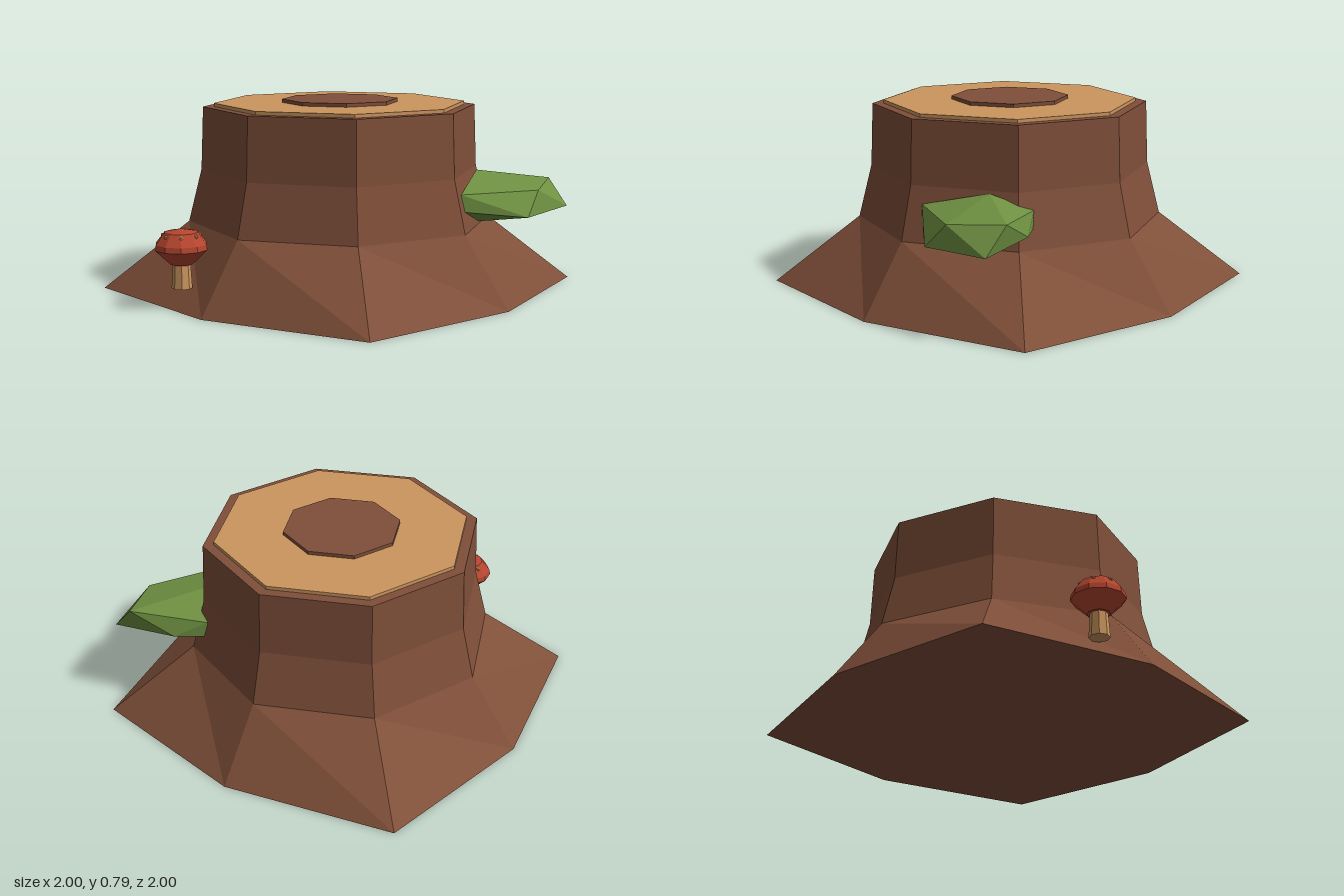
import * as THREE from 'three';
import { ConvexGeometry } from 'three/addons/geometries/ConvexGeometry.js';

const mat = (name, color) => {
  const m = new THREE.MeshStandardMaterial({ color });
  m.name = name;
  return m;
};

// Faceted copy of a geometry: every face gets its own normal
const facet = (geo) => {
  const g = geo.index ? geo.toNonIndexed() : geo;
  g.computeVertexNormals();
  return g;
};

const turned = (profile, sides) =>
  new THREE.LatheGeometry(profile.map(([r, y]) => new THREE.Vector2(r, y)), sides);

export function createModel() {
  const bark = mat('bark brown', 0x7f4f39);
  const wood = mat('cut wood', 0xcb955e);
  const red = mat('mushroom red', 0xb5452f);
  const green = mat('leaf green', 0x6f9142);

  const model = new THREE.Group();
  model.name = 'treeStump';
  const add = (name, geo, material, parent = model) => {
    const mesh = new THREE.Mesh(facet(geo), material);
    mesh.name = name;
    parent.add(mesh);
    return mesh;
  };

  // Trunk: eight sides, with the four diagonal corners of the foot pulled in
  const trunk = turned([[0, 0], [1, 0], [0.64, 0.28], [0.585, 0.5], [0.575, 0.762], [0, 0.762]], 8);
  const p = trunk.attributes.position;
  for (let i = 0; i < p.count; i++) {
    const x = p.getX(i), z = p.getZ(i);
    if (p.getY(i) < 0.01 && Math.abs(x) > 0.5 && Math.abs(z) > 0.5) {
      p.setXYZ(i, 0.6 * Math.sign(x), 0, 0.6 * Math.sign(z));
    }
  }
  add('trunk', trunk, bark);

  // Sawn top and its dark heart
  add('cutFace', new THREE.CylinderGeometry(0.53, 0.53, 0.025, 8), wood).position.y = 0.764;
  add('heartwood', new THREE.CylinderGeometry(0.245, 0.245, 0.03, 8), bark).position.y = 0.776;

  // Angular leafy clump growing from the side
  const clump = [
    [0.45, 0.43, 0.37], [0.45, 0.36, 0.37], [0.565, 0.495, 0.11], [0.89, 0.45, 0.06],
    [0.95, 0.34, 0.14], [0.56, 0.285, 0.17], [0.76, 0.29, 0.14], [0.58, 0.43, -0.06],
    [0.58, 0.36, -0.06], [0.72, 0.36, -0.03], [0.79, 0.43, 0.28], [0.73, 0.33, 0.36],
  ].map((v) => new THREE.Vector3(...v));
  add('leafClump', new ConvexGeometry(clump), green);

  // Mushroom
  const mushroom = new THREE.Group();
  mushroom.name = 'mushroom';
  mushroom.position.set(-0.672, 0, 0.405);
  model.add(mushroom);
  add('mushroomStem', new THREE.CylinderGeometry(0.034, 0.041, 0.12, 8), wood, mushroom).position.y = 0.143;
  add('mushroomCap', turned(
    [[0, 0.18], [0.045, 0.18], [0.107, 0.24], [0.104, 0.262], [0.068, 0.308], [0, 0.322]], 10), red, mushroom);

  // Pale spots barely rising through the cap
  for (let i = 0; i < 7; i++) {
    const a = (i / 7) * Math.PI * 2;
    add('mushroomSpot', new THREE.IcosahedronGeometry(0.01, 0), wood, mushroom)
      .position.set(Math.sin(a) * 0.073, 0.294, Math.cos(a) * 0.073);
  }
  return model;
}
